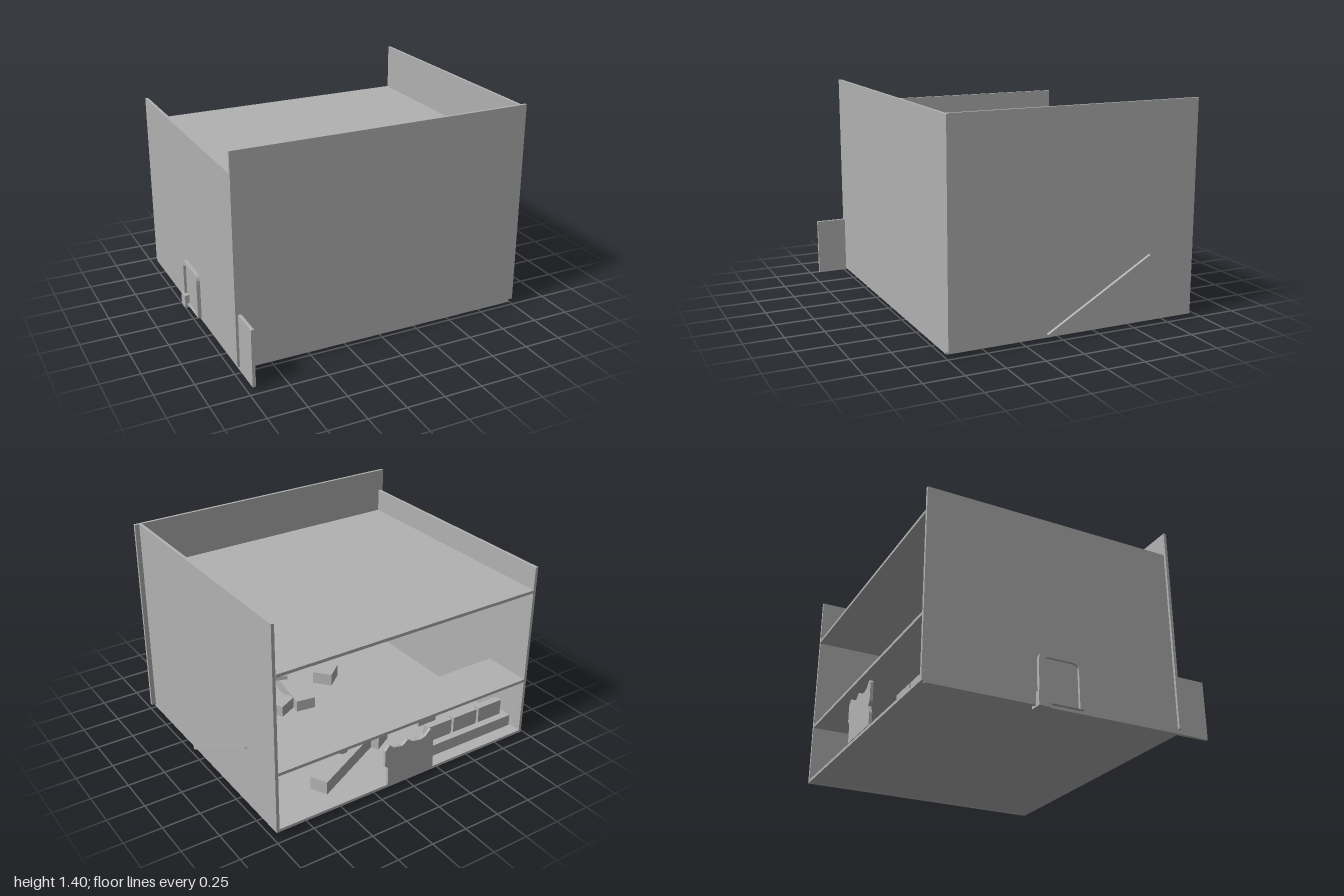
import * as THREE from 'three';

export function createModel() {
  const model = new THREE.Group();
  const grey = new THREE.MeshStandardMaterial({ color: 0xb2b2b2 });
  grey.name = 'plain grey';

  const add = (name, geometry) => {
    const mesh = new THREE.Mesh(geometry, grey);
    mesh.name = name;
    model.add(mesh);
    return mesh;
  };
  // Box given by its extents along each axis
  const box = (name, [x0, x1], [y0, y1], [z0, z1]) => {
    const mesh = add(name, new THREE.BoxGeometry(x1 - x0, y1 - y0, z1 - z0));
    mesh.position.set((x0 + x1) / 2, (y0 + y1) / 2, (z0 + z1) / 2);
    return mesh;
  };
  // Block lying on the floor along a line from (x0, z0) to (x1, z1)
  const block = (name, [x0, z0], [x1, z1], width, height, y = 0.04) => {
    const length = Math.hypot(x1 - x0, z1 - z0);
    const mesh = add(name, new THREE.BoxGeometry(length, height, width));
    mesh.position.set((x0 + x1) / 2, y + height / 2, (z0 + z1) / 2);
    mesh.rotation.y = -Math.atan2(z1 - z0, x1 - x0);
    return mesh;
  };

  // Open-backed shell
  box('floor', [-0.945, 0.968], [0.021, 0.04], [-0.938, 0.745]);
  box('frontWall', [-0.98, 1], [0.04, 1.405], [0.726, 0.745]);
  box('leftWall', [0.95, 0.97], [0.02, 1.405], [-0.938, 0.726]);
  box('rightWall', [-0.963, -0.943], [0.02, 1.25], [-0.938, 0.726]);
  box('roof', [-0.943, 0.95], [1.075, 1.095], [-0.942, 0.726]);
  box('shelf', [-0.943, 0.95], [0.42, 0.44], [-0.938, -0.6]);

  // Long board running along the right wall and out past the front
  box('sideBoard', [-0.9635, -0.9425], [0.012, 0.39], [-0.92, 0.945]);

  // Slanted rail on the left wall
  const rail = add('slantedRail', new THREE.BoxGeometry(0.02, 0.02, 0.82));
  rail.position.set(0.98, 0.24, -0.263);
  rail.rotation.x = Math.atan2(0.41, 0.71);

  // Arched door in the right wall: frame, panel and step
  const archShape = (z0, z1, top, r) => {
    const s = new THREE.Shape();
    s.moveTo(z0, 0.03);
    s.lineTo(z1, 0.03);
    s.lineTo(z1, top - r);
    s.quadraticCurveTo(z1, top, z1 - r, top);
    s.lineTo(z0 + r, top);
    s.quadraticCurveTo(z0, top, z0, top - r);
    s.closePath();
    return s;
  };
  const frameShape = archShape(-0.235, 0.06, 0.34, 0.06);
  frameShape.holes.push(archShape(-0.205, 0.03, 0.31, 0.045));
  const extrudeOptions = (depth) => ({ depth, bevelEnabled: false, curveSegments: 6 });
  const frame = add('doorFrame', new THREE.ExtrudeGeometry(frameShape, extrudeOptions(0.026)));
  frame.rotation.y = -Math.PI / 2;
  frame.position.x = -0.962;
  const panel = add('doorPanel', new THREE.ExtrudeGeometry(archShape(-0.205, 0.03, 0.31, 0.045), extrudeOptions(0.008)));
  panel.rotation.y = -Math.PI / 2;
  panel.position.x = -0.962;
  box('doorStep', [-1, -0.92], [0, 0.02], [-0.245, -0.165]);
  box('doorBlock', [-1, -0.963], [0.02, 0.09], [-0.245, -0.165]);

  // Cut-out figure standing in the open back
  const figure = new THREE.Shape([
    [0.165, 0.04], [0.165, 0.17], [0.19, 0.19], [0.19, 0.3], [0.16, 0.335], [0.13, 0.31],
    [0.06, 0.295], [0.02, 0.325], [-0.02, 0.3], [-0.08, 0.29], [-0.12, 0.3], [-0.16, 0.34],
    [-0.185, 0.32], [-0.185, 0.2], [-0.165, 0.17], [-0.19, 0.12], [-0.19, 0.04],
  ].map(([x, y]) => new THREE.Vector2(x, y)));
  add('cutOutFigure', new THREE.ExtrudeGeometry(figure, extrudeOptions(0.02))).position.z = -0.942;

  // Bench with three cushions
  box('bench', [-0.93, -0.23], [0.04, 0.12], [-0.85, -0.7]);
  for (let i = 0; i < 3; i++) {
    const x = -0.26 - i * 0.215;
    box('cushion', [x - 0.195, x], [0.12, 0.23], [-0.8, -0.75]);
  }

  // Loose blocks scattered over the floor
  block('longBlock', [0.56, -0.76], [0.01, -0.48], 0.12, 0.09);
  block('shortBlock', [-0.08, -0.56], [0.03, -0.37], 0.15, 0.1);
  block('smallBlock', [-0.4, -0.46], [-0.55, -0.46], 0.14, 0.09);
  block('slantedBlock', [0.24, 0.12], [0.52, 0.68], 0.15, 0.08);
  block('slantedBlock', [0.12, 0.08], [0.04, 0.62], 0.14, 0.08);
  block('smallBlock', [-0.16, 0.3], [-0.28, 0.4], 0.14, 0.09);
  block('smallBlock', [0.36, 0.65], [0.2, 0.65], 0.12, 0.13);
  block('thinBeam', [0.36, 0.5], [0.08, 0.4], 0.03, 0.03, 0.12);
  box('lowCounter', [0.45, 0.95], [0.04, 0.12], [0.6, 0.726]);

  // Ball resting on the long block
  add('ball', new THREE.SphereGeometry(0.045, 20, 14)).position.set(0.28, 0.175, -0.6);

  return model;
}
